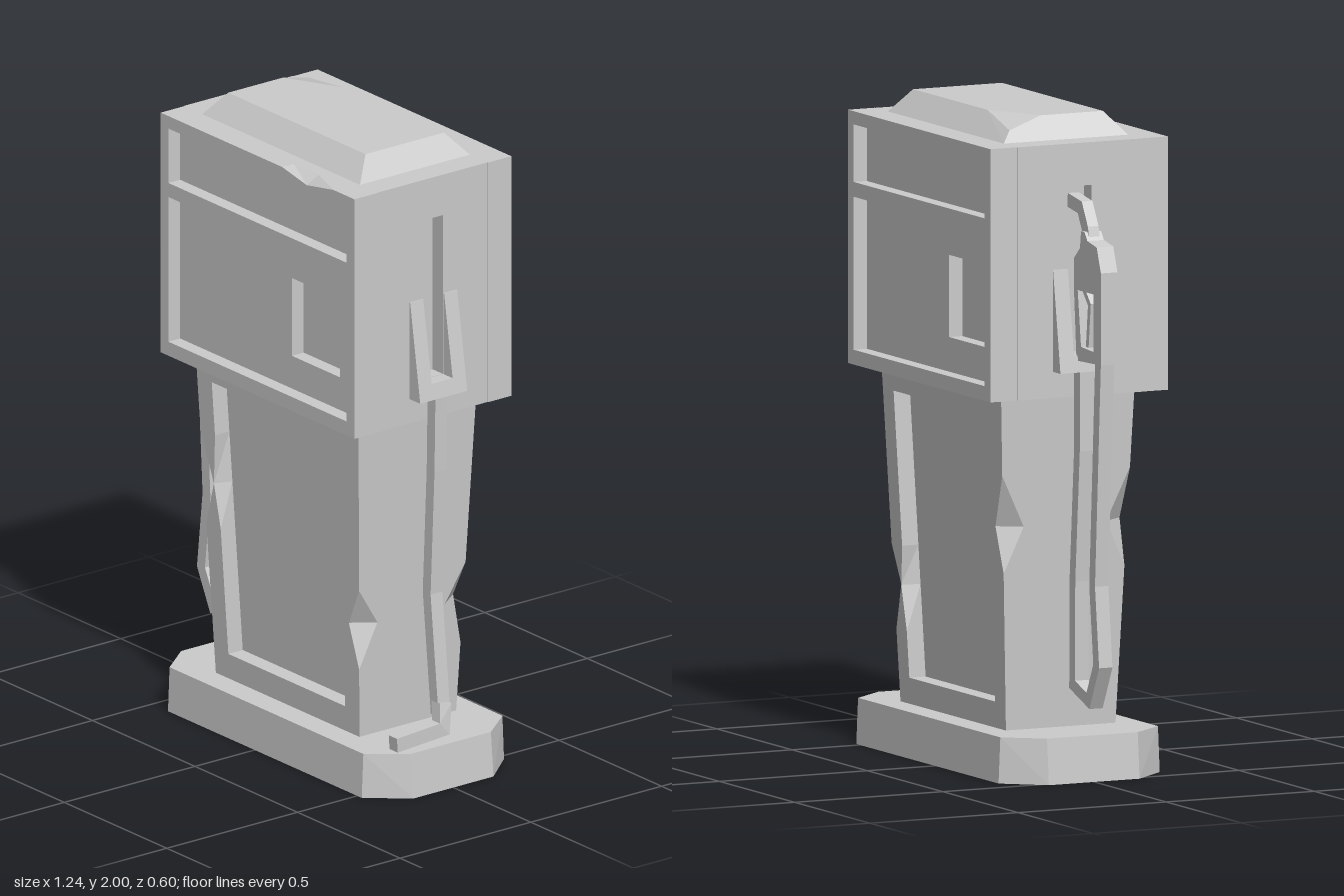
import * as THREE from 'three';
import { ConvexGeometry } from 'three/addons/geometries/ConvexGeometry.js';

const material = new THREE.MeshStandardMaterial({ color: 0xcccccc, flatShading: true, side: THREE.DoubleSide });
const V = (x, y, z) => new THREE.Vector3(x, y, z);
const CX = 0.05; // centre line of the cabinet

function add(parent, name, geometry) {
  const mesh = new THREE.Mesh(geometry, material);
  mesh.name = name;
  parent.add(mesh);
  return mesh;
}

// Skin over a list of equal-length rings, optionally closed at both ends
function loft(rings, capped) {
  const pos = [];
  const tri = (...pts) => pts.forEach((p) => pos.push(p.x, p.y, p.z));
  const n = rings[0].length;
  for (let i = 0; i < rings.length - 1; i++) {
    for (let j = 0; j < n; j++) {
      const k = (j + 1) % n;
      const [a, b, c, d] = [rings[i][j], rings[i][k], rings[i + 1][k], rings[i + 1][j]];
      tri(a, b, c);
      tri(a, c, d);
    }
  }
  if (capped) {
    const first = rings[0], last = rings[rings.length - 1];
    for (let j = 1; j < n - 1; j++) {
      tri(first[0], first[j + 1], first[j]);
      tri(last[0], last[j], last[j + 1]);
    }
  }
  const g = new THREE.BufferGeometry();
  g.setAttribute('position', new THREE.Float32BufferAttribute(pos, 3));
  g.computeVertexNormals();
  return g;
}

// Mitred rectangular bar along a path lying in the plane square to "side"
function bar(points, width, depth, side = V(0, 0, 1)) {
  const path = points.map((p) => V(...p));
  const rings = path.map((p, i) => {
    const into = p.clone().sub(path[Math.max(i - 1, 0)]).normalize();
    const out = path[Math.min(i + 1, path.length - 1)].clone().sub(p).normalize();
    const t = into.clone().add(out).normalize();
    const miter = 1 / Math.max(0.5, t.dot(i ? into : out));
    const n = side.clone().cross(t).normalize().multiplyScalar((width / 2) * miter);
    const s = side.clone().multiplyScalar(depth / 2);
    return [[1, 1], [-1, 1], [-1, -1], [1, -1]].map(([u, v]) =>
      p.clone().addScaledVector(n, u).addScaledVector(s, v));
  });
  return loft(rings, true);
}

// Flat plate with holes, extruded along z
const points2 = (pts) => pts.map(([x, y]) => new THREE.Vector2(x, y));
const rect = (x0, x1, y0, y1) => [[x0, y0], [x1, y0], [x1, y1], [x0, y1]];
function plate(outline, holes, depth) {
  const shape = new THREE.Shape(points2(outline));
  holes.forEach((h) => shape.holes.push(new THREE.Path(points2(h))));
  return new THREE.ExtrudeGeometry(shape, { depth, bevelEnabled: false });
}

// Tapered pedestal: recessed panels front and back, chipped corners
function pedestal() {
  const ring = (y, recess) => {
    const f = (y - 0.14) / 1.02;
    const W = 0.35 + 0.047 * f, D = 0.185 + 0.04 * f;
    const iw = 0.285 + (0.0375 * (y - 0.22)) / 0.87;
    const chip = (x) => (Math.abs(y - (x < 0 ? 0.76 : 0.5)) < 0.01 ? 0.05 : 0);
    const pts = [];
    for (const s of [1, -1]) {
      const l = chip(-s), r = chip(s);
      pts.push([-W, D - 1.4 * l], [-W + l, D], [-iw - 0.4 * l, D], [-iw, D - recess],
        [iw, D - recess], [iw + 0.4 * r, D], [W - r, D], [W, D - 1.4 * r]);
      pts.slice(-8).forEach((p) => { p[0] *= s; p[1] *= s; });
    }
    return pts.map(([x, z]) => V(CX + x, y, z));
  };
  const rows = [[0.14, 0], [0.22, 0], [0.22, 0.055], [0.36, 0.055], [0.5, 0.055], [0.62, 0.055],
    [0.76, 0.055], [0.92, 0.055], [1.09, 0.055], [1.09, 0], [1.16, 0]];
  return loft(rows.map(([y, r]) => ring(y, r)), false);
}

// One face of the head: panel frame over a sheet with a display window
function facade(chipped) {
  const g = new THREE.Group();
  const outline = rect(-0.4725, 0.4725, 1.16, 1.93);
  const top = chipped ? [[0.37, 1.93], [0.24, 1.907], [0.12, 1.93]] : [];
  const frame = plate([...outline.slice(0, 3), ...top, outline[3]],
    [rect(-0.435, 0.435, 1.715, 1.89), rect(-0.435, 0.435, 1.205, 1.67)], 0.045);
  // the chip in the top edge fades out towards the back of the frame
  const p = frame.attributes.position;
  for (let i = 0; i < p.count; i++) {
    if (Math.abs(p.getY(i) - 1.907) < 0.001 && p.getZ(i) < 0.01) p.setY(i, 1.93);
  }
  add(g, 'panelFrame', frame).position.z = 0.255;
  add(g, 'panelSheet', plate(outline, [rect(0.11, 0.345, 1.31, 1.56)], 0.045)).position.z = 0.21;
  g.position.x = CX;
  return g;
}

export function createModel() {
  const model = new THREE.Group();
  model.name = 'fuelPump';

  // Plinth with cut corners
  const plinth = [];
  for (const [y, k] of [[0, 0], [0.14, 0.012]]) {
    for (const sx of [1, -1]) {
      for (const sz of [1, -1]) {
        plinth.push(V(CX + sx * 0.4725, y, sz * (0.272 - k * 0.5)), V(CX + sx * (0.5725 - k), y, sz * 0.153));
      }
    }
  }
  add(model, 'plinth', new ConvexGeometry(plinth));
  add(model, 'pedestal', pedestal());

  // Head: core, two facades, two slotted sides
  const head = new THREE.Group();
  head.name = 'head';
  model.add(head);
  add(head, 'headCore', new THREE.BoxGeometry(0.845, 0.77, 0.42)).position.set(0.0475, 1.545, 0);
  const front = facade(true), back = facade(false);
  front.name = 'frontFacade';
  back.name = 'backFacade';
  back.rotation.y = Math.PI;
  head.add(front, back);
  for (const x of [-0.425, 0.47]) {
    const side = plate(rect(-0.21, 0.21, 1.16, 1.93), [rect(-0.04, 0.04, 1.29, 1.8)], 0.05);
    add(head, 'slottedSide', side.rotateY(Math.PI / 2)).position.x = x;
  }

  // Roof cap with one broken corner
  add(model, 'roofCap', new ConvexGeometry([
    V(-0.335, 1.93, -0.21), V(0.435, 1.93, -0.21), V(0.435, 1.93, 0.21), V(-0.335, 1.93, 0.21),
    V(0.385, 2, -0.15), V(0.385, 2, 0.15), V(-0.285, 2, 0.15),
    V(-0.285, 2, -0.06), V(-0.11, 2, -0.15), V(-0.31, 1.965, -0.178),
  ]));

  // Nozzle holsters: two wedge cheeks joined by a shelf
  for (const s of [1, -1]) {
    const edge = CX + s * 0.4725;
    const holster = new THREE.Group();
    holster.name = s > 0 ? 'leftHolster' : 'rightHolster';
    const cheek = [[edge, 1.24], [edge + s * 0.053, 1.24], [edge + s * 0.004, 1.55], [edge, 1.55]];
    for (const z of [-0.09, 0.04]) add(holster, 'cheek', plate(cheek, [], 0.05)).position.z = z;
    const shelf = [[edge, 1.24], [edge + s * 0.053, 1.24], [edge + s * 0.045, 1.29], [edge, 1.29]];
    add(holster, 'shelf', plate(shelf, [], 0.08)).position.z = -0.04;
    model.add(holster);
  }

  // Hose hanging loose on one side, its end lying on the plinth
  add(model, 'looseHose', bar([[0.545, 1.26, 0], [0.54, 1.0, 0], [0.521, 0.6, 0], [0.56, 0.22, 0]], 0.038, 0.045));
  add(model, 'looseHoseEnd', bar([[0.565, 0.26, 0], [0.58, 0.185, 0.015], [0.578, 0.172, 0.195]],
    0.045, 0.04, V(1, 0, 0)));

  // Hose looping up to the hung nozzle
  add(model, 'nozzleHose', bar([[-0.452, 1.26, 0], [-0.452, 1.0, 0], [-0.422, 0.6, 0], [-0.42, 0.285, 0],
    [-0.525, 0.248, 0], [-0.58, 0.36, 0], [-0.553, 0.6, 0], [-0.576, 1.0, 0], [-0.593, 1.3, 0]], 0.038, 0.045));

  // Nozzle: grip with guard, trigger and bent spout
  const nozzle = new THREE.Group();
  nozzle.name = 'nozzle';
  model.add(nozzle);
  add(nozzle, 'gripAndGuard', plate(
    [[-0.622, 1.28], [-0.46, 1.275], [-0.444, 1.48], [-0.444, 1.585], [-0.483, 1.62],
      [-0.49, 1.672], [-0.513, 1.672], [-0.532, 1.647], [-0.594, 1.635], [-0.622, 1.56]],
    [[[-0.573, 1.315], [-0.49, 1.32], [-0.468, 1.49], [-0.573, 1.49]]], 0.056)).position.z = -0.028;
  add(nozzle, 'trigger', bar([[-0.478, 1.49, 0], [-0.515, 1.45, 0], [-0.5, 1.31, 0]], 0.018, 0.025));
  add(nozzle, 'spout', bar([[-0.507, 1.64, 0], [-0.496, 1.68, 0], [-0.462, 1.74, 0], [-0.38, 1.753, 0]], 0.042, 0.036));

  return model;
}
